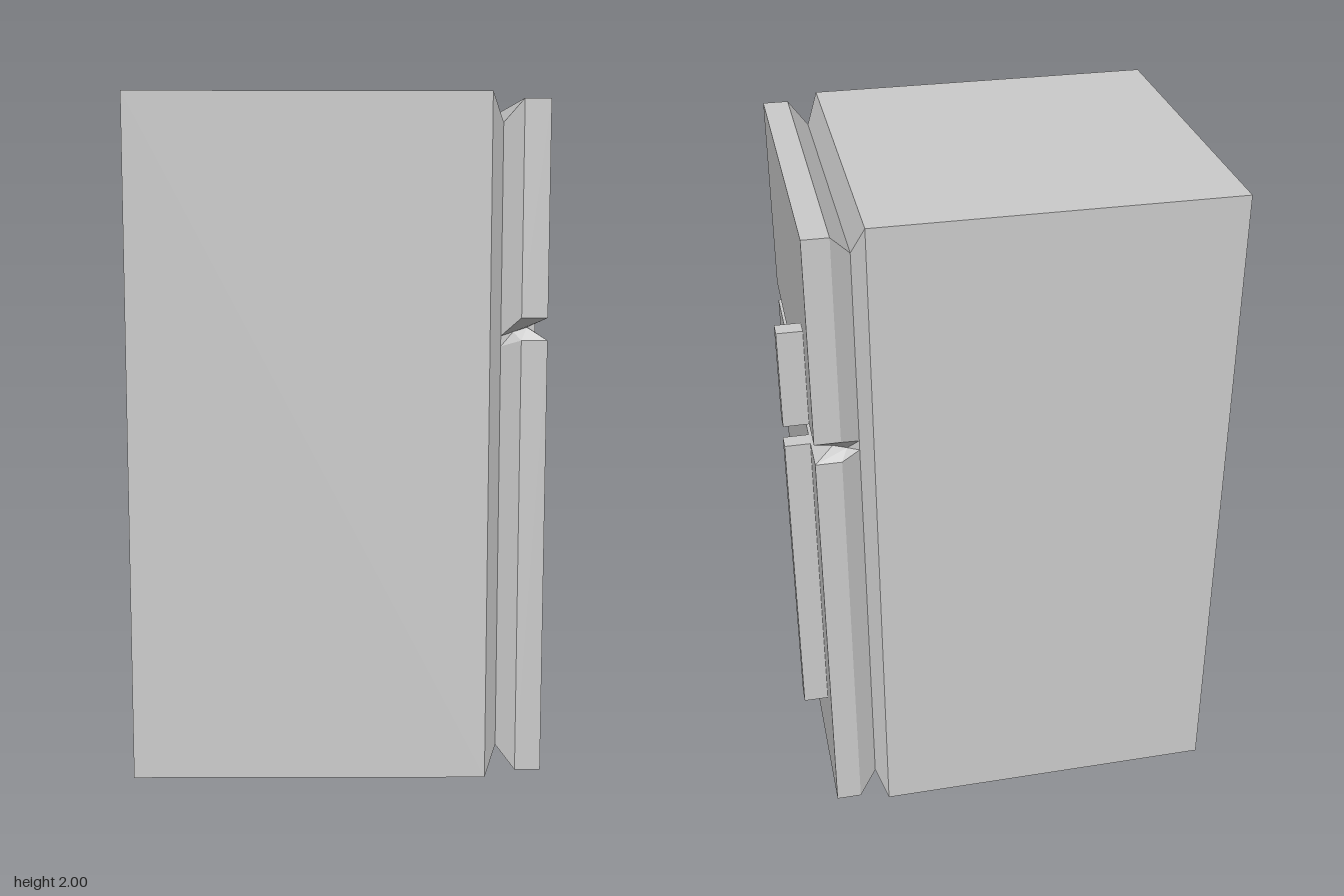
import * as THREE from 'three';

const material = new THREE.MeshStandardMaterial({ color: 0xcccccc, flatShading: true });

// Closed surface through rings of corners, counter-clockwise seen from the last ring's side
function loft(rings) {
  const positions = [];
  const quad = (a, b, c, d) => positions.push(...a, ...b, ...c, ...a, ...c, ...d);
  const n = rings[0].length;
  for (let r = 0; r < rings.length - 1; r++) {
    for (let i = 0; i < n; i++) {
      const j = (i + 1) % n;
      quad(rings[r][i], rings[r][j], rings[r + 1][j], rings[r + 1][i]);
    }
  }
  // End caps as strips between opposite corners
  const first = rings[0], last = rings[rings.length - 1];
  for (let i = 0; i < n / 2 - 1; i++) {
    const [a, b, c, d] = [i, i + 1, n - 2 - i, n - 1 - i];
    quad(last[a], last[b], last[c], last[d]);
    quad(first[d], first[c], first[b], first[a]);
  }
  const geometry = new THREE.BufferGeometry();
  geometry.setAttribute('position', new THREE.Float32BufferAttribute(positions, 3));
  geometry.computeVertexNormals();
  return geometry;
}

export function createModel() {
  const model = new THREE.Group();
  model.name = 'refrigerator';
  const add = (name, geometry) => {
    const mesh = new THREE.Mesh(geometry, material);
    mesh.name = name;
    model.add(mesh);
    return mesh;
  };

  // Cabinet, bevelled inward to a neck behind the doors
  const section = (x, y0, y1, z) => [[x, y0, z], [x, y0, -z], [x, y1, -z], [x, y1, z]];
  add('cabinet', loft([
    section(-0.64, 0, 2, 0.52),
    section(0.4, 0, 2, 0.52),
    section(0.435, 0.085, 1.915, 0.475),
  ]));

  // Doors flare out from the neck, with a V groove between freezer and fridge
  const outline = (points) => [
    ...points,
    ...points.map(([x, y, z]) => [x, y, -z]).reverse(),
  ];
  const doorRing = (neckY, y) => outline([[0.435, neckY, 0.475], [0.49, y, 0.512], [0.565, y, 0.512]]);
  const groove = outline([[0.435, 1.31, 0.475], [0.47, 1.322, 0.475], [0.51, 1.335, 0.475]]);
  add('doors', loft([
    doorRing(0.085, 0.02),
    doorRing(1.28, 1.3),
    groove,
    doorRing(1.34, 1.365),
    doorRing(1.915, 1.98),
  ]));

  // Straight bar handles
  for (const [name, y0, y1] of [['fridgeHandle', 0.35, 1.3], ['freezerHandle', 1.365, 1.66]]) {
    add(name, new THREE.BoxGeometry(0.08, y1 - y0, 0.05)).position.set(0.598, (y0 + y1) / 2, -0.373);
  }

  return model;
}
